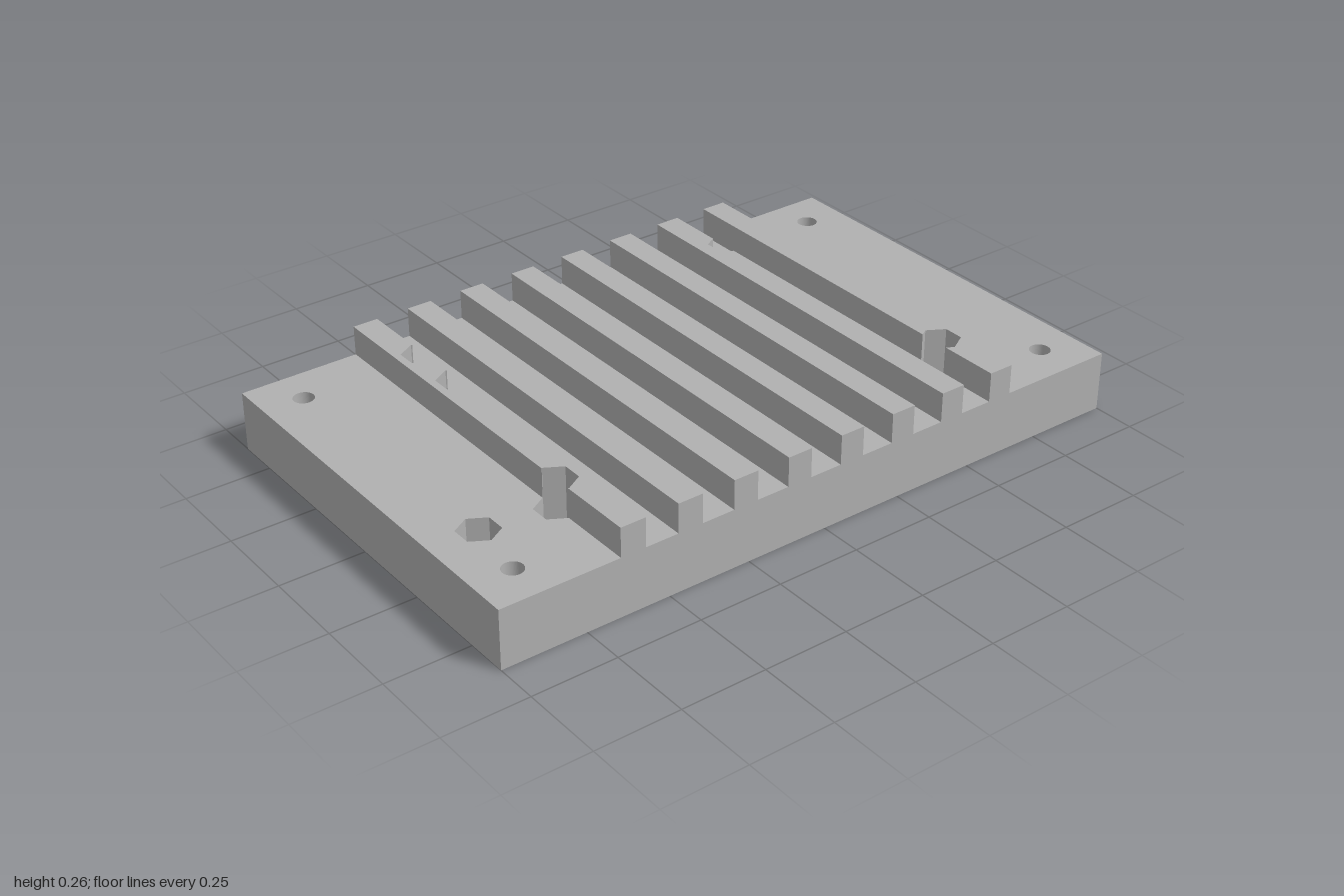
import * as THREE from 'three';

const HALF_X = 1, HALF_Z = 0.624;
const MID = 0.0875, DECK = 0.175, TOP = 0.262;
const R = 0.0585, A = R * Math.sqrt(3) / 2; // hex corner radius and apothem

// nut pockets open at the top: x, z, bore radius
const POCKETS = [
  [-0.575, -0.383, 0.037], [-0.575, -0.209, 0.03],
  [0.487, -0.401, 0.037], [0.695, -0.436, 0.03],
  [-0.853, 0.313, 0.03], [-0.645, 0.348, 0.037],
  [0.695, 0.259, 0.03], [0.591, 0.401, 0.037],
];
// corner screws, with nut pockets open at the bottom
const CORNERS = [[-1, -1], [1, -1], [-1, 1], [1, 1]].map(([sx, sz]) => [sx * 0.879, sz * 0.503, 0.03]);

// shapes are drawn in (x, -z) and extruded upward
const toShape = (pts) => new THREE.Shape(pts.map(([x, z]) => new THREE.Vector2(x, -z)));

function hexHole([x, z]) {
  const pts = [];
  for (let i = 0; i < 6; i++) {
    const t = Math.PI / 6 + i * Math.PI / 3;
    pts.push(new THREE.Vector2(x + R * Math.cos(t), -z + R * Math.sin(t)));
  }
  return new THREE.Path(pts);
}

const roundHole = ([x, z, r]) => new THREE.Path().absarc(x, -z, r, 0, Math.PI * 2, true);

function extrudeUp(shape, y0, y1) {
  const g = new THREE.ExtrudeGeometry(shape, { depth: y1 - y0, bevelEnabled: false, curveSegments: 32 });
  return g.rotateX(-Math.PI / 2).translate(0, y0, 0);
}

// one long edge of a rib, front-to-back order z- to z+, notched by the pockets that cross it
function ribEdge(e, side) {
  const pts = [[e, -HALF_Z]];
  POCKETS.filter(([x]) => Math.abs(x - e) < A).sort((p, q) => p[1] - q[1]).forEach(([x, z]) => {
    const half = [[e, R - Math.abs(x - e) / Math.sqrt(3)]];
    if ((e - x) * side > 0) half.push([x, R]);
    half.push([x - side * A, R / 2]);
    half.forEach(([px, h]) => pts.push([px, z - h]));
    half.reverse().forEach(([px, h]) => pts.push([px, z + h]));
  });
  pts.push([e, HALF_Z]);
  return pts;
}

export function createModel() {
  const model = new THREE.Group();
  model.name = 'ribbedMountingPlate';
  const grey = new THREE.MeshStandardMaterial({ color: 0xb0b0b0 });
  grey.name = 'grey';
  const add = (name, geometry) => {
    const mesh = new THREE.Mesh(geometry, grey);
    mesh.name = name;
    model.add(mesh);
  };

  const outline = [[-HALF_X, -HALF_Z], [-HALF_X, HALF_Z], [HALF_X, HALF_Z], [HALF_X, -HALF_Z]];

  // lower half: round bores, hex pockets at the corners
  const lower = toShape(outline);
  lower.holes.push(...POCKETS.map(roundHole), ...CORNERS.map(hexHole));
  add('plateLower', extrudeUp(lower, 0, MID));

  // upper half: hex pockets, round corner holes
  const upper = toShape(outline);
  upper.holes.push(...POCKETS.map(hexHole), ...CORNERS.map(roundHole));
  add('plateUpper', extrudeUp(upper, MID, DECK));

  // eight ribs running front to back
  for (let i = 0; i < 8; i++) {
    const x = -0.6095 + i * 0.1738;
    const pts = [...ribEdge(x - 0.0375, -1), ...ribEdge(x + 0.0375, 1).reverse()];
    add('rib' + (i + 1), extrudeUp(toShape(pts), DECK, TOP));
  }
  return model;
}
